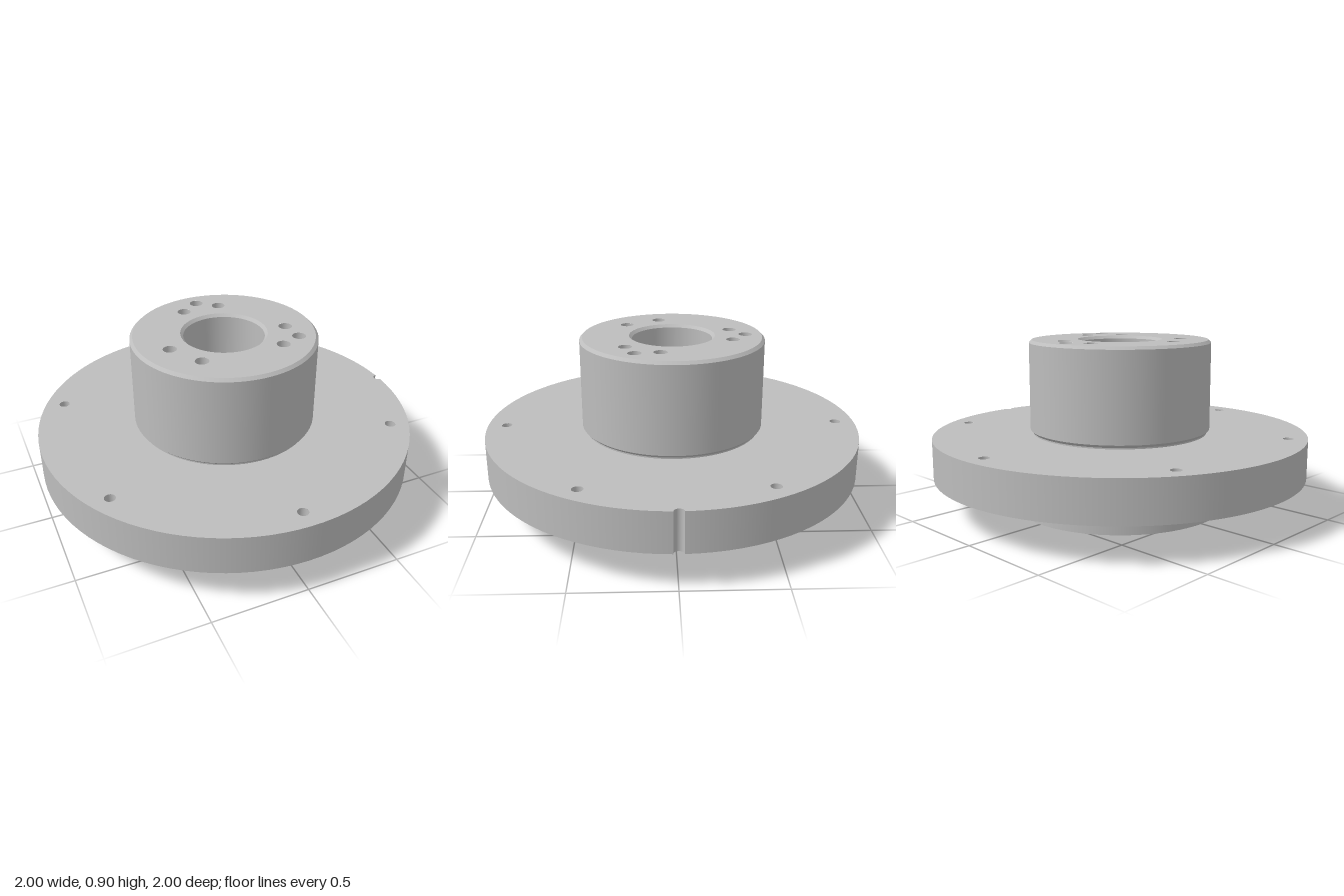
import * as THREE from 'three';

const SEG = 96;
const TAU = Math.PI * 2;
const NOTCH = 0.025;

export function createModel() {
  const metal = new THREE.MeshStandardMaterial({ color: 0xbdbdbd });
  metal.name = 'grey metal';
  const model = new THREE.Group();
  model.name = 'flangedHub';

  const add = (parent, name, geometry, x = 0, y = 0, z = 0) => {
    const mesh = new THREE.Mesh(geometry, metal);
    mesh.name = name;
    mesh.position.set(x, y, z);
    parent.add(mesh);
    return mesh;
  };
  const group = (name) => {
    const g = new THREE.Group();
    g.name = name;
    model.add(g);
    return g;
  };

  // Turned surface, smooth along its profile; rising profiles face outward, falling ones inward
  const band = (pts, start = 0, length = TAU, seg = SEG) =>
    new THREE.LatheGeometry(pts.map(([r, y]) => new THREE.Vector2(r, y)), seg, start, length);

  // One sharp-edged band per profile segment
  const turned = (parent, name, pts) => {
    for (let i = 1; i < pts.length; i++) add(parent, name, band([pts[i - 1], pts[i]]));
  };

  // Flat face with round holes [x, z, radius], facing up or down
  const face = (parent, name, outline, holes, y, up) => {
    const shape = outline();
    for (const [x, z, r] of holes) {
      const path = new THREE.Path();
      path.absarc(x, up ? -z : z, r, 0, TAU, true);
      shape.holes.push(path);
    }
    const g = new THREE.ShapeGeometry(shape, SEG / 2);
    g.rotateX(up ? -Math.PI / 2 : Math.PI / 2);
    add(parent, name, g, 0, y, 0);
  };
  const disc = (r) => () => new THREE.Shape().absarc(0, 0, r, 0, TAU, false);
  const notchedDisc = () => new THREE.Shape()
    .absarc(0, 0, 1, NOTCH, TAU - NOTCH, false)
    .absarc(1, 0, NOTCH, Math.PI * 1.5, Math.PI * 0.5, true);

  // Hole lining; the profile is relative to the hole's axis
  const drill = (parent, name, [x, z], pts) => {
    for (let i = 1; i < pts.length; i++) {
      add(parent, name, band([pts[i - 1], pts[i]], 0, TAU, 32), x, 0, z);
    }
  };
  const sized = (list, r) => list.map(([x, z]) => [x, z, r]);
  const ring = (n, r, offset = 0) => Array.from({ length: n }, (_, i) => {
    const a = offset + (i * TAU) / n;
    return [r * Math.cos(a), r * Math.sin(a)];
  });

  // Main levels
  const flangeLow = 0.19, flangeTop = 0.4, hubTop = 0.9, recessY = 0.08;
  const shelfLow = 0.28, shelfTop = 0.4;

  // Flange with six through holes, two blind holes beneath and an edge notch
  const flange = group('flange');
  const bolts = ring(6, 0.9, Math.PI / 6);
  const blind = [[0.9, 0], [-0.9, 0]];
  face(flange, 'flangeTop', notchedDisc, [[0, 0, 0.47], ...sized(bolts, 0.028)], flangeTop, true);
  face(flange, 'flangeUnderside', notchedDisc,
    [[0, 0, 0.6], ...sized(bolts, 0.028), ...sized(blind, 0.028)], flangeLow, false);
  add(flange, 'flangeRim',
    band([[1, flangeLow], [1, flangeTop]], Math.PI / 2 + NOTCH, TAU - 2 * NOTCH));
  add(flange, 'edgeNotch',
    band([[NOTCH, flangeTop], [NOTCH, flangeLow]], Math.PI, Math.PI), 1, 0, 0);
  for (const p of bolts) drill(flange, 'boltHole', p, [[0.028, flangeTop], [0.028, flangeLow]]);
  for (const p of blind) drill(flange, 'blindHole', p, [[0, 0.3], [0.028, 0.3], [0.028, flangeLow]]);

  // Hub with chamfered ends
  const hub = group('hub');
  turned(hub, 'hubWall', [[0.47, flangeTop], [0.47, 0.407], [0.485, 0.422], [0.485, 0.885], [0.47, hubTop]]);
  const conical = [[0.1, -0.31], [0.32, 0.065], [0.22, 0.24]].flatMap(([x, z]) => [[x, z], [-x, z]]);
  const flat = [[0, -0.385], [0.333, 0.192]];
  face(hub, 'hubTop', disc(0.47),
    [[0, 0, 0.225], ...sized(conical, 0.035), ...sized(flat, 0.035)], hubTop, true);
  for (const p of conical) {
    drill(hub, 'drilledHole', p, [[0.035, hubTop], [0.035, 0.76], [0, 0.735]]);
  }
  for (const p of flat) drill(hub, 'pinHole', p, [[0.035, hubTop], [0.035, 0.78], [0, 0.78]]);

  // Stepped central bore with an inner shelf
  const bore = group('bore');
  turned(bore, 'boreWall', [
    [0.225, hubTop], [0.21, 0.885], [0.21, shelfTop], [0.12, shelfTop],
    [0.12, shelfLow], [0.25, shelfLow], [0.25, recessY + 0.015], [0.265, recessY],
  ]);

  // Lower boss, filleted into the flange
  const boss = group('lowerBoss');
  turned(boss, 'bossWall', [[0.575, 0], [0.575, 0.165]]);
  const fillet = Array.from({ length: 9 }, (_, i) => {
    const a = (i / 8) * Math.PI / 2;
    return [0.6 - 0.025 * Math.cos(a), 0.165 + 0.025 * Math.sin(a)];
  });
  add(boss, 'bossFillet', band(fillet));

  // Underside rim and recess with locating holes
  turned(boss, 'recessRim', [[0.53, recessY], [0.53, 0.02], [0.55, 0], [0.575, 0]]);
  const sockets = [...ring(4, 0.42, Math.PI / 4), [0.42, 0]];
  face(boss, 'recessFloor', disc(0.53), [[0, 0, 0.265], ...sized(sockets, 0.054)], recessY, false);
  for (const p of sockets) {
    drill(boss, 'socket', p, [[0, 0.25], [0.054, 0.25], [0.054, recessY]]);
  }

  return model;
}
